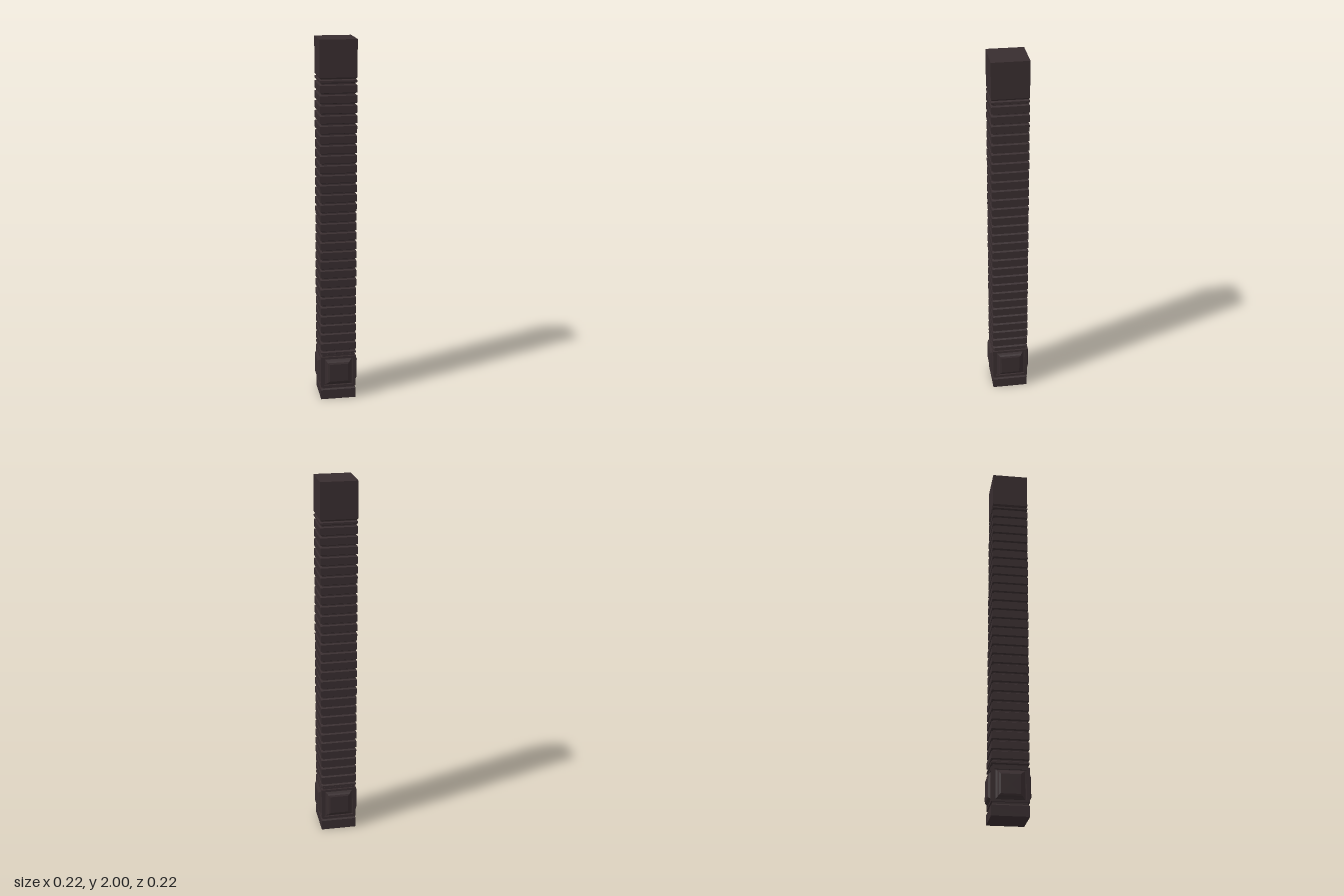
import * as THREE from 'three';

const HALF = 0.098;   // half width of the post
const GROOVE = 0.088; // half width at the bottom of a groove

// Square solid from a [half width, y] profile, listed bottom to top
function squareLathe(profile) {
  const points = profile.map(([h, y]) => new THREE.Vector2(h * Math.SQRT2, y));
  const geo = new THREE.LatheGeometry(points, 4, Math.PI / 4).toNonIndexed();
  geo.computeVertexNormals();
  return geo;
}

function rectangle(target, w, y0, y1) {
  target.moveTo(-w, y0);
  target.lineTo(w, y0);
  target.lineTo(w, y1);
  target.lineTo(-w, y1);
  target.closePath();
  return target;
}

// Pillow panel: stacked square cross-sections turned to face +z
function panelGeometry() {
  const geo = squareLathe([[0.076, 0.083], [0.075, 0.093], [0.066, 0.1], [0.06, 0.108], [0.051, 0.112], [0, 0.112]]);
  geo.rotateX(Math.PI / 2);
  geo.translate(0, 0.162, 0);
  return geo;
}

export function createModel() {
  const model = new THREE.Group();
  const darkWood = new THREE.MeshStandardMaterial({ color: 0x382d2f });
  darkWood.name = 'darkWood';

  const add = (parent, name, geo) => {
    const mesh = new THREE.Mesh(geo, darkWood);
    mesh.name = name;
    parent.add(mesh);
    return mesh;
  };

  // Foot and cap blocks
  add(model, 'foot', squareLathe([[0, 0], [HALF, 0], [HALF, 0.055], [0.092, 0.062], [0, 0.062]]));
  add(model, 'cap', squareLathe([[0, 1.798], [0.092, 1.798], [HALF, 1.806], [HALF, 2], [0, 2]]));

  // Shaft with evenly spaced bevelled grooves
  const shaft = [[0, 0.26], [GROOVE, 0.26]];
  const slab = (y0, y1) => shaft.push(
    [GROOVE, y0 + 0.003], [HALF, y0 + 0.008], [HALF, y1 - 0.008], [GROOVE, y1 - 0.003]);
  const count = 28, start = 0.289, pitch = 0.053;
  slab(0.264, start);
  for (let i = 0; i < count; i++) slab(start + i * pitch, start + (i + 1) * pitch);
  slab(start + count * pitch, 1.799);
  shaft.push([GROOVE, 1.8], [0, 1.8]);
  add(model, 'groovedShaft', squareLathe(shaft));

  // Panelled block above the foot
  add(model, 'panelCore', squareLathe([[0, 0.055], [0.089, 0.055], [0.089, 0.265], [0, 0.265]]));
  const frameShape = rectangle(new THREE.Shape(), HALF, 0.072, 0.254);
  frameShape.holes.push(rectangle(new THREE.Path(), 0.082, 0.083, 0.241));
  const frame = new THREE.ExtrudeGeometry(frameShape, { depth: 0.012, bevelEnabled: false });
  frame.translate(0, 0, HALF - 0.012);
  const panel = panelGeometry();
  for (let i = 0; i < 4; i++) {
    const side = new THREE.Group();
    side.name = 'panelSide';
    side.rotation.y = i * Math.PI / 2;
    add(side, 'panelFrame', frame);
    add(side, 'raisedPanel', panel);
    model.add(side);
  }
  return model;
}
